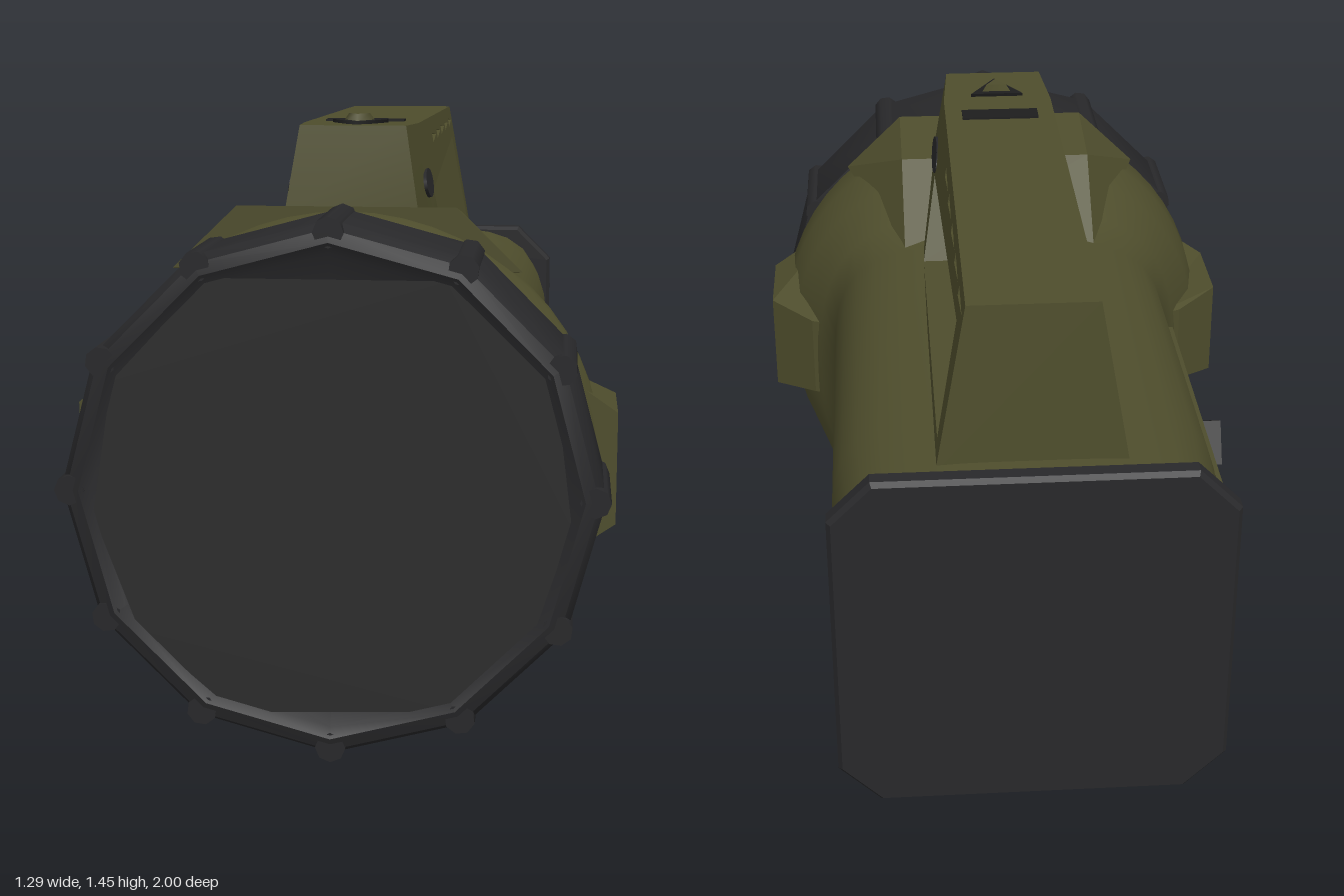
import * as THREE from 'three';
import { toCreasedNormals } from 'three/addons/utils/BufferGeometryUtils.js';

const paint = (name, color, side = THREE.FrontSide) => {
  const m = new THREE.MeshStandardMaterial({ color, side });
  m.name = name;
  return m;
};
const V = (pts) => pts.map(([a, b]) => new THREE.Vector2(a, b));

// Move every vertex by a rule
function warp(g, rule) {
  const p = g.attributes.position, v = new THREE.Vector3();
  for (let i = 0; i < p.count; i++) {
    v.fromBufferAttribute(p, i);
    rule(v);
    p.setXYZ(i, v.x, v.y, v.z);
  }
  g.computeVertexNormals();
  return g;
}

// Extrude a (z, y) profile symmetrically across x
function across(pts, width, holes = []) {
  const shape = new THREE.Shape(V(pts));
  holes.forEach((h) => shape.holes.push(new THREE.Path(V(h))));
  const g = new THREE.ExtrudeGeometry(shape, { depth: width, bevelEnabled: false });
  return g.translate(0, 0, -width / 2).rotateY(-Math.PI / 2);
}

// Loft superellipse sections [z, halfWidth, yMin, yMax, power]
function loft(sections, n = 56) {
  const pos = [], idx = [];
  for (const [z, hw, y0, y1, p] of sections) {
    for (let j = 0; j < n; j++) {
      const t = (j / n) * Math.PI * 2, c = Math.cos(t), s = Math.sin(t);
      const k = Math.pow(Math.abs(c) ** p + Math.abs(s) ** p, -1 / p);
      pos.push(hw * c * k, (y0 + y1) / 2 + ((y1 - y0) / 2) * s * k, z);
    }
  }
  for (let i = 0; i < sections.length - 1; i++) {
    for (let j = 0; j < n; j++) {
      const a = i * n + j, c = i * n + ((j + 1) % n);
      idx.push(a, c, c + n, a, c + n, a + n);
    }
  }
  const g = new THREE.BufferGeometry();
  g.setAttribute('position', new THREE.Float32BufferAttribute(pos, 3));
  g.setIndex(idx);
  g.computeVertexNormals();
  return g;
}

export function createModel() {
  const olive = paint('olive', 0x4e4d2c, THREE.DoubleSide);
  const black = paint('black rubber', 0x28282a, THREE.DoubleSide);
  const glass = paint('dark lens', 0x2c2c2c);
  const panel = paint('panel black', 0x1e1e1e);
  const tan = paint('tan', 0xb5a384);
  const group = new THREE.Group();
  const add = (name, geo, mat, x = 0, y = 0, z = 0) => {
    const m = new THREE.Mesh(geo, mat);
    m.name = name;
    m.position.set(x, y, z);
    group.add(m);
    return m;
  };

  // Body: rounded square flaring to a round collar
  add('body', loft([
    [-0.95, 0.445, 0.12, 1.02, 4.5],
    [-0.7, 0.465, 0.115, 1.025, 4.5],
    [0.2, 0.465, 0.09, 1.04, 4.2],
    [0.32, 0.51, 0.09, 1.09, 3],
    [0.45, 0.585, 0.08, 1.18, 2.2],
    [0.57, 0.61, 0.04, 1.225, 2.05],
    [0.66, 0.615, 0.025, 1.24, 2],
    [0.71, 0.58, 0.05, 1.215, 2],
  ]), olive);

  // Rear plate with chamfered corners
  const a = 0.467, b = 0.448, c = 0.1;
  const plate = new THREE.Shape(V([[a, b - c], [a - c, b], [c - a, b], [-a, b - c],
    [-a, c - b], [c - a, -b], [a - c, -b], [a, c - b]]));
  add('rearPlate', new THREE.ExtrudeGeometry(plate, {
    depth: 0.035, bevelThickness: 0.012, bevelSize: 0.01, bevelOffset: -0.01, bevelSegments: 1,
  }), black, 0, 0.577, -0.988);

  // Collar lugs, top pad and foot, their front edges spreading into the collar
  for (const s of [-1, 1]) {
    const lug = new THREE.Shape(V([[0.45 * s, -0.31], [0.53 * s, -0.34], [0.645 * s, -0.44],
      [0.645 * s, -0.68], [0.45 * s, -0.68]]));
    const g = new THREE.ExtrudeGeometry(lug, { depth: 0.27, bevelEnabled: false });
    g.translate(0, 0, -0.135).rotateX(-Math.PI / 2);
    add('sideLug', warp(g, (v) => {
      if (Math.abs(v.x) < 0.5 && v.z > 0.6) v.y *= 2;
      if (v.z < 0.4) v.y *= 0.85;
    }), olive, 0, 0.64, 0);
  }
  add('topPad', warp(across([[0.2, 1.02], [0.41, 1.215], [0.65, 1.25], [0.65, 1.1]], 0.52), (v) => {
    if (v.y < 1.15 && v.z > 0.6) v.x *= 1.6;
  }), olive);
  add('foot', across([[0.44, 0.1], [0.53, 0.01], [0.55, 0], [0.58, 0], [0.65, 0.1]], 0.54), olive);

  // Handle: side profile with grip opening and thin slots, narrowing upward
  const slots = [];
  for (let i = 0; i < 5; i++) {
    const z = -0.05 - i * 0.172;
    slots.push([[z, 1.352], [z, 1.376], [z - 0.135, 1.366]]);
  }
  const handle = across(
    [[0.54, 1.2], [0.5, 1.43], [0.3, 1.425], [-0.9, 1.405], [-0.915, 1.0], [0.54, 1.0]], 2,
    [[[0.2, 1.25], [0.1, 1.045], [-0.84, 1.045], [-0.8, 1.32]], ...slots]);
  warp(handle, (v) => {
    const front = v.z > 0.45 ? 0.9 : 1;
    v.x *= (0.22 - 0.075 * (v.y - 1) / 0.42) * front;
  });
  add('handle', toCreasedNormals(handle, 0.4), olive);

  // Dark oval insets at the front of the handle
  for (const s of [-1, 1]) {
    const oval = new THREE.CylinderGeometry(1, 1, 0.008, 20).scale(0.036, 1, 0.1);
    oval.rotateZ(Math.PI / 2 + s * 0.18);
    add('handleInset', oval, black, s * 0.169, 1.275, 0.29);
  }

  // Switch and slot on the handle top
  add('switchSlot', new THREE.BoxGeometry(0.2, 0.008, 0.06), panel, 0, 1.424, 0.19);
  add('switchSeat', new THREE.CylinderGeometry(0.08, 0.08, 0.008, 3), panel, 0, 1.431, 0.36);
  add('switchButton', new THREE.CylinderGeometry(0.03, 0.05, 0.025, 3), olive, 0, 1.439, 0.36);

  // Twelve-sided lens ring with a grip rib on every corner
  const ring = new THREE.LatheGeometry(V([[0.53, 0.69], [0.6, 0.7], [0.617, 0.72], [0.617, 0.96],
    [0.6, 0.99], [0.57, 1], [0.545, 0.985], [0.48, 0.97]]), 12).rotateX(Math.PI / 2);
  add('lensRing', toCreasedNormals(ring, 0.6), black, 0, 0.637, 0);
  for (let i = 0; i < 12; i++) {
    const t = (i / 12) * Math.PI * 2;
    const rib = add('gripRib', new THREE.CylinderGeometry(0.035, 0.035, 0.285, 8).rotateX(Math.PI / 2), black,
      0.592 * Math.cos(t), 0.637 + 0.592 * Math.sin(t), 0.853);
    rib.rotation.z = t;
  }
  add('lens', new THREE.ShapeGeometry(new THREE.Shape(V([[0.54, 0.58], [0.5, 0.89], [0.26, 1.125],
    [-0.27, 1.125], [-0.49, 0.89], [-0.54, 0.58], [-0.44, 0.31], [-0.22, 0.12], [0.28, 0.14], [0.46, 0.33]]))),
  glass, 0, 0, 0.988);

  // Control panel on the right side
  const side = -0.461, midY = 0.6, midZ = -0.325;
  add('controlPanel', new THREE.BoxGeometry(0.009, 0.43, 0.8), panel, side - 0.002, midY, midZ);
  const trim = (h, d, y, z) => add('panelTrim', new THREE.BoxGeometry(0.012, h, d), olive, side - 0.003, y, z);
  for (const s of [-1, 1]) {
    trim(0.018, 0.82, midY + s * 0.22, midZ);
    trim(0.456, 0.018, midY, midZ + s * 0.405);
  }
  for (let i = 0; i < 3; i++) {
    add('indicatorWindow', new THREE.BoxGeometry(0.008, 0.145, 0.125), tan, side - 0.005, 0.61, -0.575 + i * 0.138);
  }
  add('dialMark', new THREE.BoxGeometry(0.008, 0.05, 0.08), tan, side - 0.005, 0.665, -0.08);

  // Rotary knob
  add('knob', new THREE.CylinderGeometry(0.065, 0.05, 0.05, 12).rotateZ(Math.PI / 2), panel, -0.49, 0.56, -0.09);
  add('knobGrip', new THREE.BoxGeometry(0.08, 0.12, 0.06), panel, -0.545, 0.56, -0.09).rotation.x = 0.5;

  return group;
}
